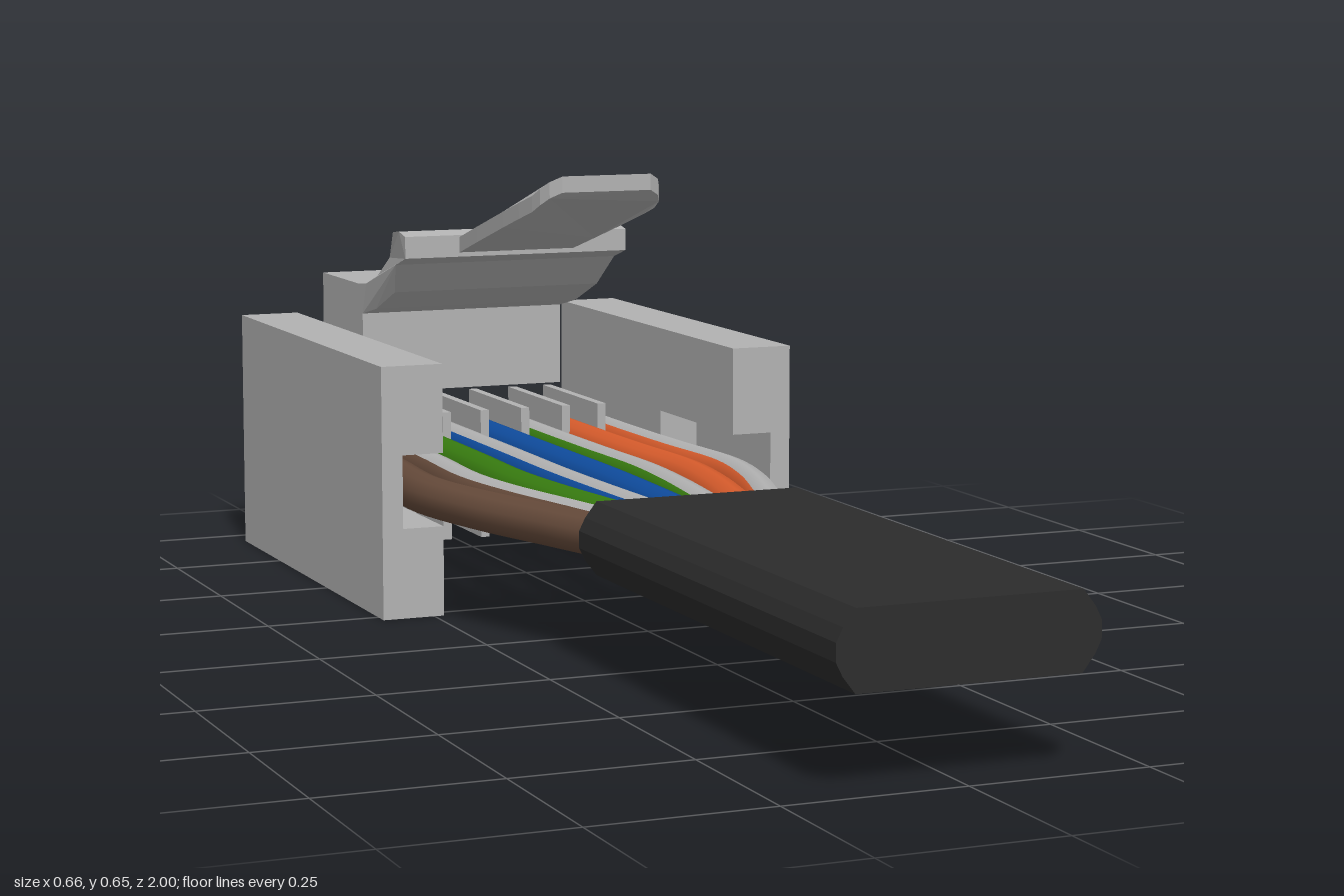
import * as THREE from 'three';

const mat = (name, color, side = THREE.FrontSide) =>
  Object.assign(new THREE.MeshStandardMaterial({ color, side }), { name });

export function createModel() {
  const root = new THREE.Group();
  root.name = 'cablePlug';
  const plastic = mat('greyPlastic', 0xb2b2b2);
  const jacketMat = mat('blackJacket', 0x2c2c2c);
  const orange = mat('orangeWire', 0xd85c2c);
  const green = mat('greenWire', 0x387c10);
  const blue = mat('blueWire', 0x0f4c9e);
  const brown = mat('brownWire', 0x654a3a);

  const add = (name, geo, material, parent = root) => {
    const m = new THREE.Mesh(geo, material);
    m.name = name;
    parent.add(m);
    return m;
  };
  // Box given by its limits on each axis
  const box = (name, x0, x1, y0, y1, z0, z1, parent) =>
    add(name, new THREE.BoxGeometry(x1 - x0, y1 - y0, z1 - z0), plastic, parent)
      .position.set((x0 + x1) / 2, (y0 + y1) / 2, (z0 + z1) / 2);
  const shapeOf = pts => new THREE.Shape(pts.map(p => new THREE.Vector2(...p)));
  const extrude = (shape, depth) => new THREE.ExtrudeGeometry(shape, { depth, bevelEnabled: false });

  // Side walls, each with a pocket at the front for the outer wire
  for (const s of [-1, 1]) {
    const wall = new THREE.Group();
    wall.name = s > 0 ? 'leftWall' : 'rightWall';
    root.add(wall);
    const span = (a, b) => (s > 0 ? [a, b] : [-b, -a]);
    box('wallRear', ...span(0.235, 0.33), 0, 0.378, -0.945, -0.51, wall);
    const c = [[0.235, 0], [0.33, 0], [0.33, 0.378], [0.235, 0.378],
      [0.235, 0.245], [0.298, 0.245], [0.298, 0.135], [0.235, 0.135]];
    add('wallFront', extrude(shapeOf(c.map(([x, y]) => [x * s, y])), 0.285), plastic, wall).position.z = -0.51;
  }

  // Rear cross bar and contact blades between the wires
  box('crossBar', -0.235, 0.235, 0.082, 0.137, -0.945, -0.912);
  [-0.197, -0.131, -0.071, -0.006, 0.064, 0.135, 0.198].forEach(x =>
    box('contactBlade', x - 0.007, x + 0.007, 0.03, 0.238, -0.92, -0.67));

  // Latch block with a rising arm: side profile in (z, y), flared at its front
  const profile = [[-1, 0.26], [-0.79, 0.26], [-0.79, 0.39], [-0.72, 0.405], [-0.626, 0.441],
    [-0.583, 0.489], [-0.535, 0.503], [-0.535, 0.537], [-0.565, 0.543], [-0.594, 0.54],
    [-0.65, 0.494], [-0.71, 0.46], [-0.77, 0.441], [-0.81, 0.437], [-1, 0.437]];
  const latch = extrude(shapeOf(profile.map(([z, y]) => [-z, y]).reverse()), 2);
  latch.translate(0, 0, -1).rotateY(Math.PI / 2);
  const lp = latch.attributes.position;
  for (let i = 0; i < lp.count; i++) lp.setX(i, lp.getX(i) * (lp.getZ(i) > -0.6 ? 0.185 : 0.172));
  latch.computeVertexNormals();
  add('latchBlock', latch, plastic);

  // Latch lever: rounded plate, sloped and curled up at the tip
  const half = [[0.095, -0.56], [0.098, -0.45], [0.1, -0.33], [0.1, -0.26], [0.098, -0.21],
    [0.095, -0.185], [0.086, -0.168], [0.07, -0.157]];
  const outline = [...half.map(([x, z]) => [x, -z]), ...half.map(([x, z]) => [-x, -z]).reverse()].reverse();
  const lever = extrude(shapeOf(outline), 0.024);
  lever.rotateX(-Math.PI / 2);
  const vp = lever.attributes.position;
  for (let i = 0; i < vp.count; i++) {
    const z = vp.getZ(i), t = Math.max(0, z + 0.22);
    vp.setY(i, vp.getY(i) + 0.503 + (z + 0.56) * 0.272 + t * t * 4.5);
  }
  lever.computeVertexNormals();
  add('latchLever', lever, plastic);

  // Wires fan out from the jacket; alternate ones have light stripes above and below
  const colours = [brown, brown, green, blue, blue, green, orange, orange];
  const striped = [0, 1, 0, 1, 0, 1, 0, 1];
  const Y = 0.176, R = 0.031, END = -0.915;
  colours.forEach((colour, i) => {
    const x = (i - 3.5) * 0.066;
    const path = new THREE.CatmullRomCurve3([[0.55, 0.3], [0.56, 0.2], [0.72, 0.06], [0.95, -0.12],
      [1.06, -0.27], [1.02, -0.45], [1, -0.62], [1, END]].map(([k, z]) => new THREE.Vector3(x * k, Y, z)));
    const geo = new THREE.TubeGeometry(path, 36, R, 10, false);
    if (striped[i]) {
      // Sort the faces into coloured and light ones by how steeply they face up or down
      const idx = geo.index.array, n = geo.attributes.normal, sets = [[], []];
      for (let f = 0; f < idx.length; f += 6) {
        const quad = Array.from(idx.slice(f, f + 6));
        const up = quad.reduce((a, v) => a + n.getY(v), 0) / 6;
        sets[Math.abs(up) > 0.75 ? 1 : 0].push(...quad);
      }
      geo.setIndex([...sets[0], ...sets[1]]);
      geo.addGroup(0, sets[0].length, 0);
      geo.addGroup(sets[0].length, sets[1].length, 1);
    }
    add(striped[i] ? 'stripedWire' : 'wire', geo, striped[i] ? [colour, plastic] : colour);
    const cap = add('wireEnd', new THREE.CircleGeometry(R, 10), colour);
    cap.position.set(x, Y, END);
    cap.rotation.set(0, Math.PI, Math.PI / 2);
  });

  // Flat cable jacket with chamfered sides
  const q = [[0.153, 0.052], [0.17, 0.03], [0.179, 0.012]];
  const top = [...q, ...q.map(([x, y]) => [x, -y]).reverse()];
  const ring = [...top, ...top.map(([x, y]) => [-x, -y])].map(([x, y]) => [x, y + 0.178]);
  add('cableJacket', extrude(shapeOf(ring), 0.82), jacketMat).position.z = 0.18;

  return root;
}
